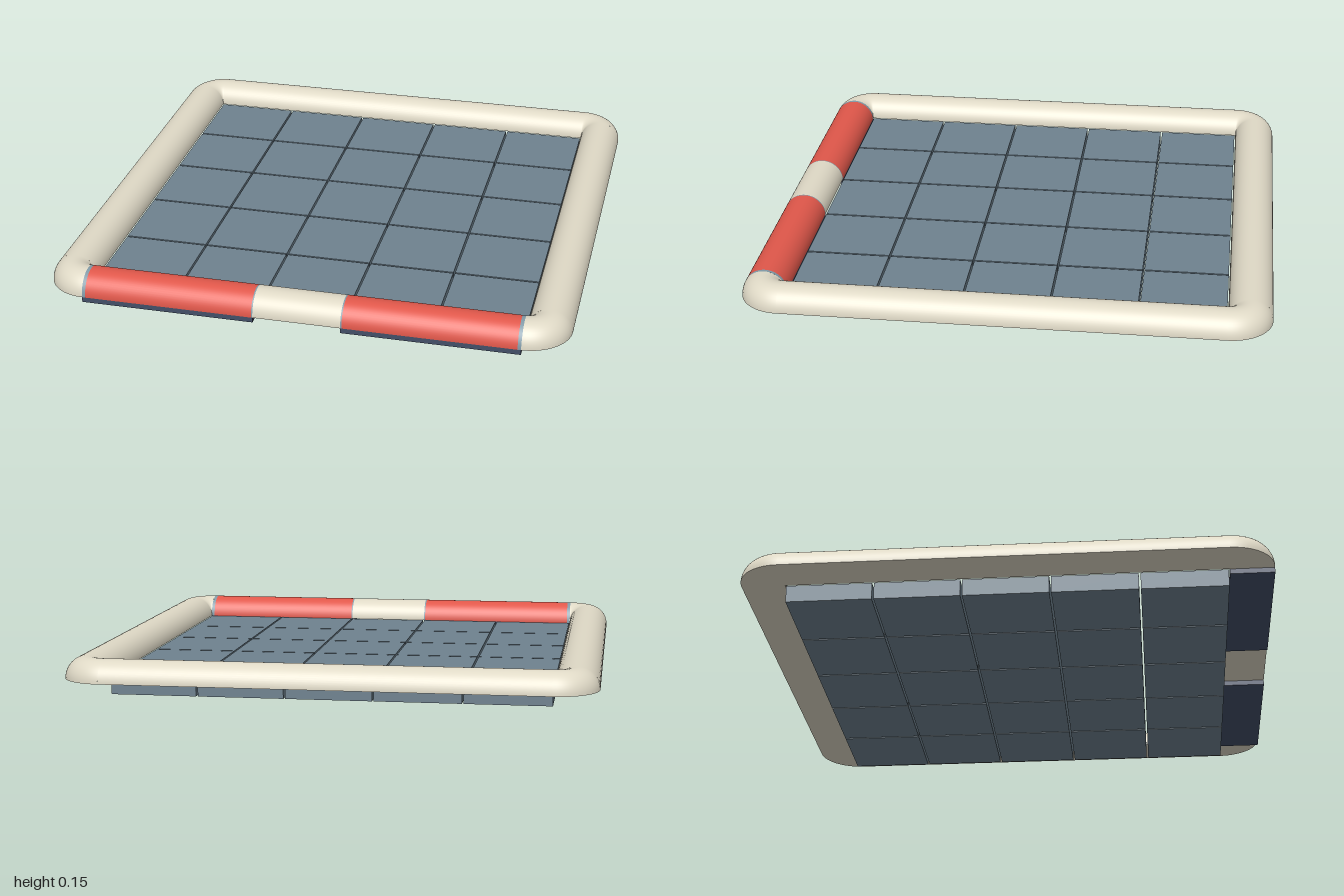
import * as THREE from 'three';
import { mergeGeometries } from 'three/addons/utils/BufferGeometryUtils.js';

const R = 1 / 12;          // radius of the half-round edging
const INNER = 1 - 2 * R;   // half size of the tiled floor
const MID = 1 - R;         // centre line of the edging
const BASE = 0.067;        // underside of the edging
const TILE = 1 / 3;

// Half-round bar along x with a flat underside
function halfRound(length) {
  const bar = new THREE.CylinderGeometry(R, R, length, 32, 1, false, 0, Math.PI).rotateZ(Math.PI / 2);
  const under = new THREE.PlaneGeometry(length, 2 * R).rotateX(Math.PI / 2);
  return mergeGeometries([bar, under]);
}

// Quarter turn of the same profile, with a flat underside
function quarterCorner() {
  const profile = [];
  for (let i = 0; i <= 24; i++) {
    const a = (i / 24) * Math.PI;
    profile.push(new THREE.Vector2(Math.max(0, R + R * Math.cos(a)), R * Math.sin(a)));
  }
  const top = new THREE.LatheGeometry(profile, 16, 0, Math.PI / 2);
  const under = new THREE.CircleGeometry(2 * R, 16, 0, Math.PI / 2).rotateX(Math.PI / 2);
  return mergeGeometries([top, under]);
}

export function createModel() {
  const group = new THREE.Group();
  const mat = (name, color) => new THREE.MeshStandardMaterial({ name, color });
  const cream = mat('cream', 0xdfd9c6);
  const slate = mat('slate', 0x6f828f);
  const red = mat('red', 0xe0574a);
  const paleBlue = mat('pale blue', 0x8099a6);
  const navy = mat('navy', 0x434f68);

  const add = (name, geometry, material, x, y, z, turn = 0) => {
    const mesh = new THREE.Mesh(geometry, material);
    mesh.name = name;
    mesh.position.set(x, y, z);
    mesh.rotation.y = turn;
    group.add(mesh);
  };

  // Floor tiles with narrow open joints
  const tile = new THREE.BoxGeometry(TILE - 0.007, BASE, TILE - 0.007);
  for (let i = -2; i <= 2; i++)
    for (let j = -2; j <= 2; j++) add('floorTile', tile, slate, i * TILE, BASE / 2, j * TILE);

  // Back and side edging
  const rail = halfRound(2 * INNER);
  add('backRail', rail, cream, 0, BASE, -MID);
  add('leftRail', rail, cream, MID, BASE, 0, Math.PI / 2);
  add('rightRail', rail, cream, -MID, BASE, 0, Math.PI / 2);

  // Rounded corners
  const corner = quarterCorner();
  [[1, 1, 0], [1, -1, 1], [-1, -1, 2], [-1, 1, 3]].forEach(([sx, sz, turns]) =>
    add('corner', corner, cream, sx * INNER, BASE, sz * INNER, turns * Math.PI / 2));

  // Front edging: cream centre between two red pads with end bands and base plates
  add('frontCentreRail', halfRound(TILE), cream, 0, BASE, MID);
  const outerBand = 0.013, innerBand = 0.005;
  const padLength = 2 * TILE - outerBand - innerBand;
  const pad = halfRound(padLength);
  const outer = halfRound(outerBand);
  const inner = halfRound(innerBand);
  const plate = new THREE.BoxGeometry(2 * TILE, 0.02, 2 * R);
  for (const s of [1, -1]) {
    add('frontPad', pad, red, s * (TILE / 2 + innerBand + padLength / 2), BASE, MID);
    add('outerBand', outer, paleBlue, s * (INNER - outerBand / 2), BASE, MID);
    add('innerBand', inner, paleBlue, s * (TILE / 2 + innerBand / 2), BASE, MID);
    add('basePlate', plate, navy, s * TILE * 1.5, BASE - 0.01, MID);
  }

  return group;
}
